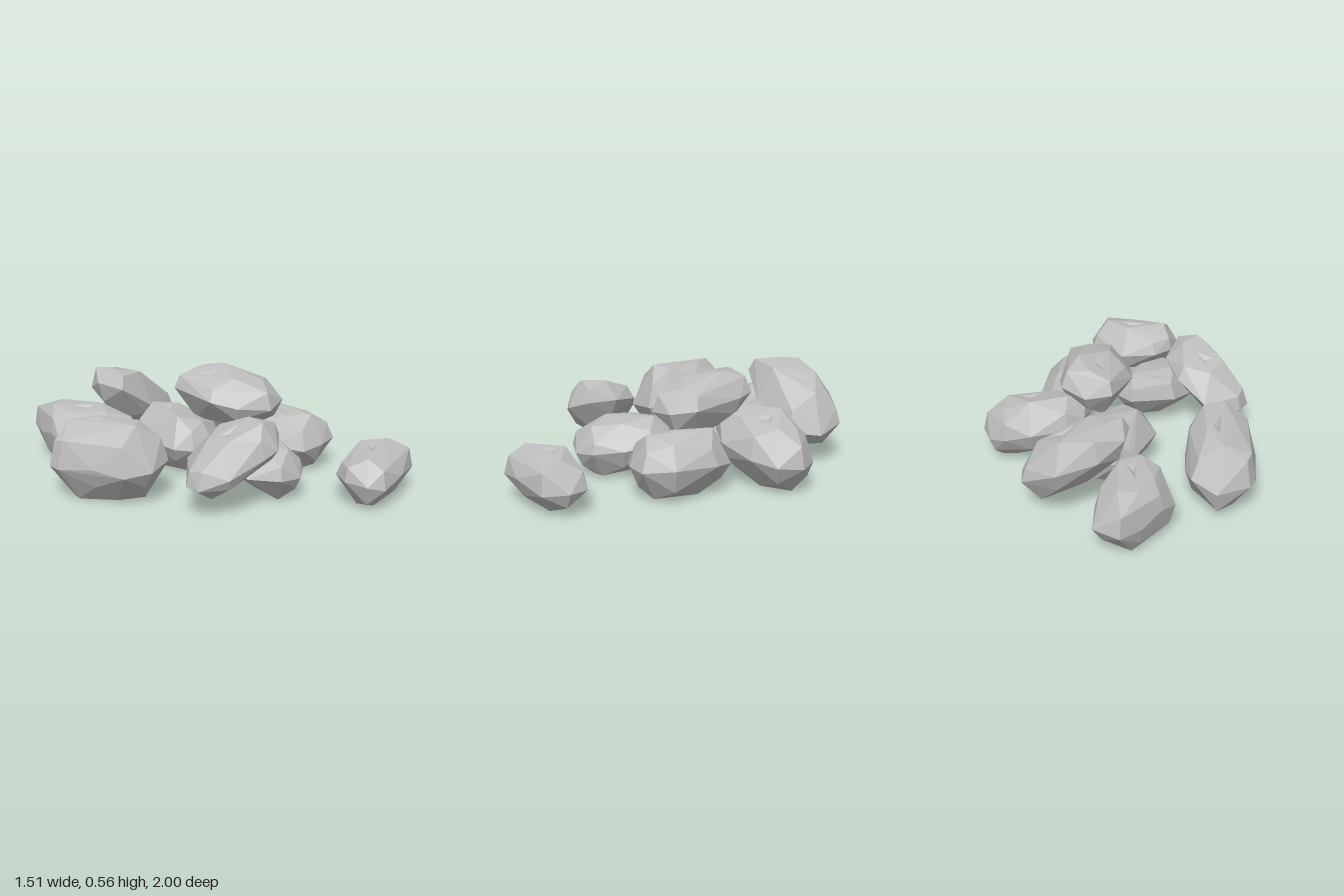
import * as THREE from 'three';
import { ConvexGeometry } from 'three/addons/geometries/ConvexGeometry.js';

const stone = new THREE.MeshStandardMaterial({ color: 0xbebebe });
stone.name = 'grey stone';
stone.flatShading = true;

// Small seeded generator so that the pile is always the same
function seeded(seed) {
  let s = seed * 7919 + 17;
  return () => (s = (s * 16807) % 2147483647) / 2147483647;
}

// Replace the broadest upward facet by the same facet with a shallow chipped pit
function chip(geometry, size, depth) {
  const p = geometry.attributes.position;
  const faces = [];
  for (let i = 0; i < p.count; i += 3) {
    faces.push([0, 1, 2].map((k) => new THREE.Vector3().fromBufferAttribute(p, i + k)));
  }
  const normalOf = (f) => new THREE.Triangle(...f).getNormal(new THREE.Vector3());
  const score = (f) => new THREE.Triangle(...f).getArea() * (0.3 + normalOf(f).y);
  let best = 0;
  faces.forEach((f, i) => { if (score(f) > score(faces[best])) best = i; });
  const [face] = faces.splice(best, 1);
  const centre = new THREE.Triangle(...face).getMidpoint(new THREE.Vector3());
  const pit = centre.clone().addScaledVector(normalOf(face), -depth);
  const inner = face.map((v) => centre.clone().lerp(v, size));
  for (let k = 0; k < 3; k++) {
    const n = (k + 1) % 3;
    faces.push([face[k], face[n], inner[n]], [face[k], inner[n], inner[k]], [inner[k], inner[n], pit]);
  }
  const chipped = new THREE.BufferGeometry().setFromPoints(faces.flat());
  chipped.computeVertexNormals();
  return chipped;
}

// Height fraction, inset and which outline points are used (step, start)
const levels = [
  [0.0, 0.38, 2, 0],
  [0.2, 0.8, 2, 1],
  [0.5, 1.0, 1, 0],
  [0.8, 0.84, 2, 0],
  [1.0, 0.48, 2, 1],
];

// A boulder: plan outline [x, z], bottom and top height, slope along x and z
function boulder(name, seed, outline, bottom, top, slopeX = 0, slopeZ = 0) {
  const rand = seeded(seed);
  const rim = outline.map(([x, z]) => new THREE.Vector2(x, z));
  const centre = rim.reduce((a, p) => a.add(p), new THREE.Vector2()).divideScalar(rim.length);
  rim.forEach((p) => p.sub(centre));
  const axis = rim.reduce((a, p) => (p.length() > a.length() ? p : a)).clone().normalize();
  const thickness = top - bottom;
  const points = [];
  for (const [h, inset, step, start] of levels) {
    for (let i = start; i < rim.length; i += step) {
      const k = inset === 1 ? 1 : inset + (rand() - 0.5) * 0.12;
      // Stones taper less along their length than across it
      const d = rim[i].clone().multiplyScalar(k).addScaledVector(axis, rim[i].dot(axis) * (1 - k) * 0.35);
      const y = (h + (rand() - 0.5) * 0.14) * thickness + d.x * slopeX + d.y * slopeZ;
      points.push(new THREE.Vector3(centre.x + d.x, y, centre.y + d.y));
    }
  }
  // Fit the tilted stone between its bottom and top
  const ys = points.map((p) => p.y);
  const low = Math.min(...ys), high = Math.max(...ys);
  for (const p of points) p.y = bottom + ((p.y - low) / (high - low)) * thickness;
  const mesh = new THREE.Mesh(chip(new ConvexGeometry(points), 0.45, 0.015), stone);
  mesh.name = name;
  return mesh;
}

export function createModel() {
  const pile = new THREE.Group();
  pile.name = 'rockPile';
  pile.add(
    // Stones lying on the ground
    boulder('frontLooseRock', 1, [[0.22, 0.71], [0.4, 0.64], [0.61, 0.68], [0.66, 0.78], [0.63, 0.91],
      [0.42, 0.98], [0.24, 1.0], [0.17, 0.94], [0.155, 0.81]], 0, 0.285),
    boulder('rightOuterRock', 2, [[-0.75, -0.39], [-0.62, -0.51], [-0.48, -0.5], [-0.41, -0.4], [-0.35, -0.25],
      [-0.295, -0.05], [-0.33, 0.05], [-0.49, 0.09], [-0.62, 0.02], [-0.69, -0.14], [-0.755, -0.32]], 0, 0.42),
    boulder('backRock', 3, [[-0.32, -1.0], [-0.17, -0.98], [-0.1, -0.8], [-0.07, -0.6], [-0.08, -0.42],
      [-0.24, -0.39], [-0.35, -0.51], [-0.455, -0.64], [-0.43, -0.74], [-0.38, -0.88]], 0, 0.33),
    boulder('leftBackRock', 4, [[0.26, -0.35], [0.42, -0.47], [0.57, -0.49], [0.67, -0.47], [0.755, -0.38],
      [0.75, -0.24], [0.62, -0.15], [0.42, -0.08], [0.24, -0.12], [0.22, -0.25]], 0, 0.38, -0.25),
    boulder('centreRock', 5, [[-0.07, -0.46], [0.06, -0.5], [0.2, -0.49], [0.255, -0.36], [0.25, -0.1],
      [0.08, 0.01], [-0.05, -0.03], [-0.13, -0.1], [-0.12, -0.37]], 0, 0.33),
    boulder('leftRock', 6, [[0.41, -0.08], [0.54, -0.08], [0.62, 0.02], [0.68, 0.26], [0.61, 0.41],
      [0.48, 0.43], [0.36, 0.4], [0.29, 0.24], [0.3, 0.05]], 0, 0.33),
    boulder('frontRock', 7, [[0.09, 0.07], [0.2, 0.12], [0.28, 0.22], [0.25, 0.38], [0.18, 0.53],
      [0.08, 0.59], [-0.05, 0.57], [-0.14, 0.42], [-0.1, 0.23]], 0, 0.31, 0, -0.22),
    // Stones resting on top of others
    boulder('backTopRock', 8, [[-0.1, -0.76], [0.08, -0.86], [0.29, -0.82], [0.365, -0.67], [0.32, -0.51],
      [0.06, -0.44], [-0.14, -0.47], [-0.18, -0.62]], 0.08, 0.51, -0.75),
    boulder('topRock', 9, [[0.05, -0.26], [0.18, -0.31], [0.33, -0.28], [0.38, -0.2], [0.47, 0.07],
      [0.42, 0.2], [0.27, 0.24], [0.12, 0.13], [0.05, 0.0]], 0.25, 0.56, 0, -0.15),
    boulder('frontTopRock', 10, [[-0.46, 0.29], [-0.3, 0.155], [-0.13, 0.2], [0.0, 0.34], [0.01, 0.5],
      [-0.09, 0.575], [-0.18, 0.56], [-0.36, 0.49], [-0.47, 0.38]], 0.09, 0.465, 0.65),
  );
  return pile;
}
